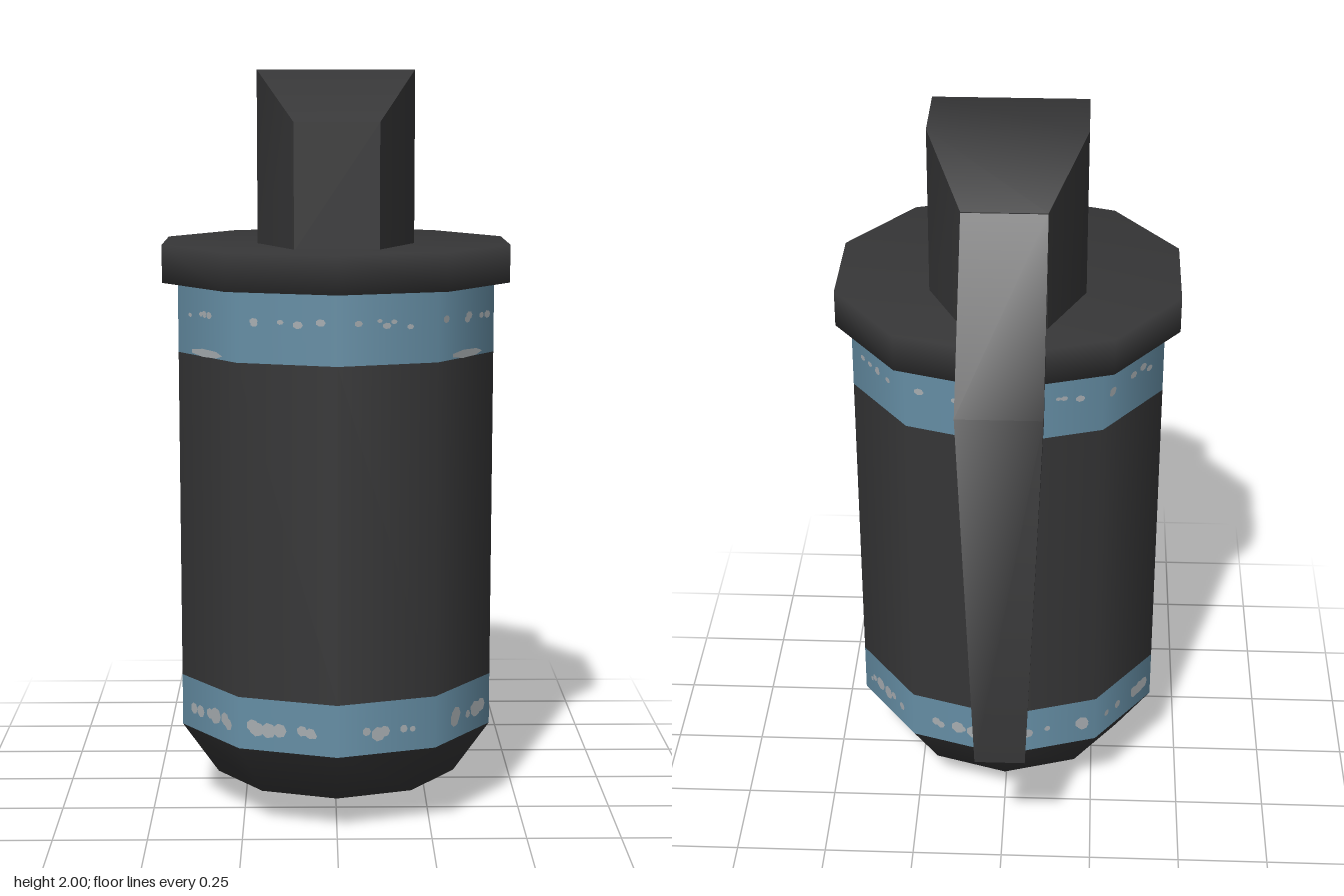
import * as THREE from 'three';
import { mergeGeometries, toCreasedNormals } from 'three/addons/utils/BufferGeometryUtils.js';

const SIDES = 10;
const AXIS_Z = 0.098; // the can sits forward of centre, the lever behind it
const R = 0.44;

export function createModel() {
  const model = new THREE.Group();
  model.name = 'grenade';

  const makeMaterial = (name, color) => {
    const m = new THREE.MeshStandardMaterial({ color });
    m.name = name;
    return m;
  };
  const darkMetal = makeMaterial('dark metal', 0x363637);
  const bluePaint = makeMaterial('blue paint', 0x668fa6);
  const wornMetal = makeMaterial('worn metal', 0xa6acb0);

  const add = (name, geometry, material, z = 0) => {
    const mesh = new THREE.Mesh(geometry, material);
    mesh.name = name;
    mesh.position.z = z;
    model.add(mesh);
    return mesh;
  };
  // Ten-sided turned part from [radius, height] pairs, bottom to top
  const turned = (name, profile, material) =>
    add(name, new THREE.LatheGeometry(profile.map(([r, y]) => new THREE.Vector2(r, y)), SIDES), material, AXIS_Z);

  // Can: pointed base, two painted bands, plain middle, collar
  turned('base', [[0, 0], [0.34, 0.09], [R, 0.235]], darkMetal);
  turned('lowerBand', [[R, 0.235], [R, 0.375]], bluePaint);
  turned('body', [[R, 0.375], [R, 1.26]], darkMetal);
  turned('upperBand', [[R, 1.26], [R, 1.445]], bluePaint);
  turned('collar', [[R - 0.02, 1.445], [0.483, 1.445], [0.483, 1.545], [0, 1.545]], darkMetal);

  // Fuse head: eight-sided plan with the front and back of the top sloping down
  const plan = [
    [-0.11, 0.405], [0.11, 0.405], [0.208, 0.19], [0.208, -0.03],
    [0.11, -0.24], [-0.11, -0.24], [-0.208, -0.03], [-0.208, 0.19],
  ];
  const bottom = plan.map(([x, z]) => [x, 1.54, z]);
  const top = plan.map(([x, z]) => [x, Math.abs(x) > 0.15 ? 2 : 1.868, z]);
  const corners = [];
  const quad = (a, b, c, d) => corners.push(...a, ...b, ...c, ...a, ...c, ...d);
  for (let i = 0; i < 8; i++) {
    const j = (i + 1) % 8;
    quad(bottom[i], bottom[j], top[j], top[i]);
  }
  for (const [a, b, c, d] of [[2, 3, 6, 7], [0, 1, 2, 7], [3, 4, 5, 6]]) {
    quad(top[a], top[b], top[c], top[d]);
  }
  const head = new THREE.BufferGeometry();
  head.setAttribute('position', new THREE.Float32BufferAttribute(corners, 3));
  add('fuseHead', toCreasedNormals(head, 0.85), darkMetal);

  // Safety lever: a bent strip that narrows to its lower end
  const rows = [ // half width, then [y, z] of the outer and inner side
    { w: 0.068, outer: [0.4, -0.58], inner: [0.4, -0.545] },
    { w: 0.11, outer: [1.47, -0.58], inner: [1.445, -0.545] },
    { w: 0.11, outer: [1.868, -0.238], inner: [1.815, -0.238] },
  ];
  const lever = new THREE.BoxGeometry(1, 1, 1, 1, 2, 1);
  const p = lever.attributes.position;
  for (let i = 0; i < p.count; i++) {
    const row = rows[Math.round((p.getY(i) + 0.5) * 2)];
    const [y, z] = p.getZ(i) > 0 ? row.inner : row.outer;
    p.setXYZ(i, Math.sign(p.getX(i)) * row.w, y, z);
  }
  add('safetyLever', toCreasedNormals(lever, 0.85), darkMetal);

  // Worn paint: small thin flecks lying on the flat faces of the bands
  let seed = 11;
  const random = () => (seed = (seed * 16807) % 2147483647) / 2147483647;
  const apothem = R * Math.cos(Math.PI / SIDES) + 0.002;
  const flecks = { lower: [], upper: [] };
  const fleck = (list, face, u, y, w, h) => {
    const g = new THREE.CircleGeometry(0.5, 7);
    g.scale(w, h, 1);
    g.translate(u, y, apothem);
    g.rotateY((face + 0.5) * (2 * Math.PI / SIDES));
    list.push(g);
  };
  for (let face = 0; face < SIDES; face++) {
    for (let i = 0; i < 7; i++) {
      const size = 0.015 + random() * 0.03;
      fleck(flecks.lower, face, (random() - 0.5) * 0.2, 0.295 + (random() - 0.5) * 0.015, size, size);
    }
    for (let i = 0; i < 5; i++) {
      const size = 0.01 + random() * 0.012;
      fleck(flecks.upper, face, (random() - 0.5) * 0.2, 1.365 + (random() - 0.5) * 0.02, size * 1.4, size);
    }
  }
  // Larger chips along the lower edge of the upper band
  for (const face of [1, 8]) fleck(flecks.upper, face, 0, 1.27, 0.15, 0.022);
  for (const list of Object.keys(flecks)) {
    add(list + 'BandWear', mergeGeometries(flecks[list]), wornMetal, AXIS_Z);
  }

  return model;
}
